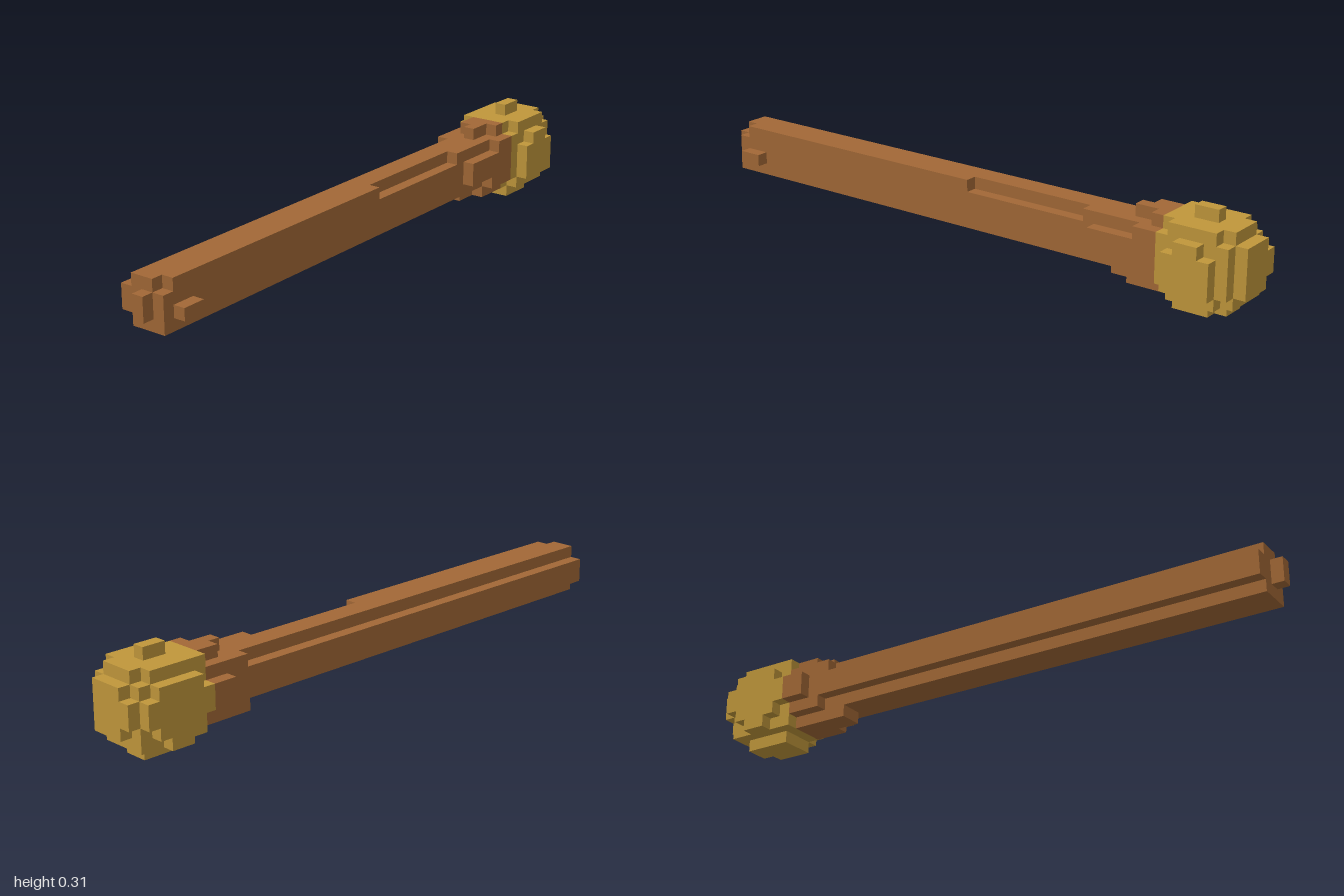
import * as THREE from 'three';

const U = 2 / 51; // one block

// Box spanning block ranges: x i0..i1, y j0..j1, z k0..k1
function addBlocks(group, name, material, ranges) {
  const part = new THREE.Group();
  part.name = name;
  for (const [i0, i1, j0, j1, k0, k1] of ranges) {
    const mesh = new THREE.Mesh(
      new THREE.BoxGeometry((i1 - i0) * U, (j1 - j0) * U, (k1 - k0) * U), material);
    mesh.name = name + 'Block';
    mesh.position.set(-1 + (i0 + i1) / 2 * U, (j0 + j1) / 2 * U, ((k0 + k1) / 2 - 3.5) * U);
    part.add(mesh);
  }
  group.add(part);
}

export function createModel() {
  const model = new THREE.Group();
  model.name = 'club';
  const wood = new THREE.MeshStandardMaterial({ color: 0xa26836 });
  wood.name = 'brownWood';
  const gold = new THREE.MeshStandardMaterial({ color: 0xc0973b });
  gold.name = 'gold';

  // Long shaft with stepped back corners and a notch in the top front edge
  addBlocks(model, 'shaft', wood, [
    [1, 44, 2, 5, 2, 5],
    [1, 44, 5, 6, 2, 4],
    [2, 26, 5, 6, 4, 5],
    [37, 44, 5, 6, 4, 5],
    [1, 44, 3, 5, 1, 2],
  ]);

  // End tip and small peg
  addBlocks(model, 'endTip', wood, [[0, 1, 3, 5, 3, 4]]);
  addBlocks(model, 'peg', wood, [[2, 4, 3, 4, 5, 6]]);

  // Neck flaring towards the head
  addBlocks(model, 'neck', wood, [
    // front
    [38, 44, 3, 5, 5, 6],
    [41, 44, 2, 3, 5, 6],
    [42, 44, 5, 6, 5, 6],
    // back
    [40, 44, 5, 6, 1, 2],
    [41, 44, 2, 3, 1, 2],
    [42, 44, 3, 5, 0, 1],
    // top
    [41, 42, 6, 7, 3, 4],
    [42, 43, 6, 7, 2, 4],
    [43, 44, 6, 7, 2, 5],
    // bottom
    [39, 41, 1, 2, 2, 4],
    [41, 44, 1, 2, 2, 5],
  ]);

  // Rounded head
  addBlocks(model, 'head', gold, [
    // core
    [44, 50, 2, 6, 1, 6],
    // tip face
    [50, 51, 2, 6, 2, 5],
    [50, 51, 3, 5, 1, 2],
    // top layer
    [44, 45, 6, 7, 1, 5],
    [45, 49, 6, 7, 1, 6],
    [49, 50, 6, 7, 2, 5],
    // lower layers
    [44, 45, 1, 2, 1, 5],
    [45, 49, 1, 2, 1, 6],
    [49, 50, 1, 2, 1, 5],
    [45, 49, 0, 1, 2, 4],
    [45, 48, 0, 1, 4, 5],
    // front face
    [45, 49, 2, 5, 6, 7],
    [46, 48, 5, 6, 6, 7],
    // back face
    [44, 50, 3, 5, 0, 1],
    [45, 49, 5, 6, 0, 1],
    [45, 49, 2, 3, 0, 1],
    [46, 48, 1, 2, 0, 1],
  ]);
  addBlocks(model, 'crownKnob', gold, [[46, 48, 7, 8, 3, 4]]);

  return model;
}
